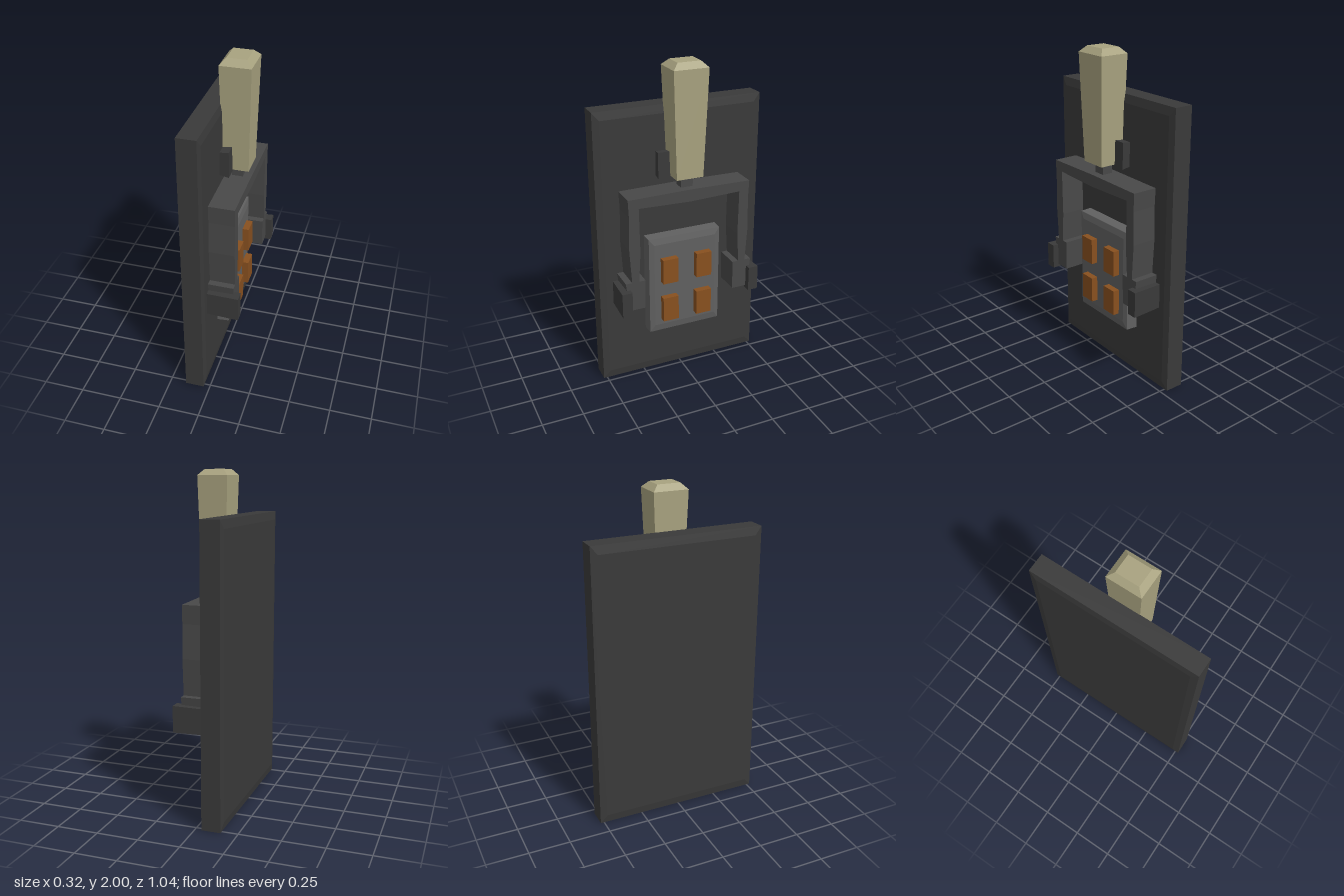
import * as THREE from 'three';

const material = (color) => new THREE.MeshStandardMaterial({ color, flatShading: true });

// Rectangular loft. Each section is [h, u0, u1, v0, v1].
// Along y: h = y, u = x, v = z. Along x: h = x, u = z, v = y.
function loft(sections, axis) {
  const rings = sections.map(([h, u0, u1, v0, v1]) =>
    [[u0, v1], [u1, v1], [u1, v0], [u0, v0]].map(([u, v]) => (axis === 'y' ? [u, h, v] : [h, v, u])));
  const pos = [];
  const quad = (a, b, c, d) => pos.push(...a, ...b, ...c, ...a, ...c, ...d);
  for (let i = 0; i < rings.length - 1; i++) {
    for (let k = 0; k < 4; k++) {
      const n = (k + 1) % 4;
      quad(rings[i][k], rings[i][n], rings[i + 1][n], rings[i + 1][k]);
    }
  }
  quad(...rings[0].slice().reverse());
  quad(...rings[rings.length - 1]);
  const g = new THREE.BufferGeometry();
  g.setAttribute('position', new THREE.Float32BufferAttribute(pos, 3));
  g.computeVertexNormals();
  return g;
}

export function createModel() {
  const model = new THREE.Group();
  model.name = 'knifeSwitch';
  const dark = material(0x3a3a3a);
  const iron = material(0x484848);
  const grey = material(0x606060);
  const copper = material(0x88501f);
  const cream = material(0xa8a27f);

  const add = (name, geometry, mat) => {
    const mesh = new THREE.Mesh(geometry, mat);
    mesh.name = name;
    model.add(mesh);
    return mesh;
  };

  // Back plate with very shallow edge bevels
  add('backPlate', loft([
    [-0.16, -0.48, 0.48, 0.05, 1.69],
    [-0.152, -0.522, 0.522, 0, 1.74],
    [-0.038, -0.522, 0.522, 0, 1.74],
    [-0.03, -0.48, 0.48, 0.05, 1.69],
  ], 'x'), dark);

  // Tapered handle with a chamfered top, and its neck
  add('handle', loft([
    [1.33, -0.03, 0.12, -0.083, 0.083],
    [1.965, -0.045, 0.135, -0.106, 0.106],
    [2.0, -0.012, 0.102, -0.07, 0.07],
  ], 'y'), cream);
  add('handleNeck', loft([
    [1.24, 0.01, 0.075, -0.037, 0.037],
    [1.34, 0.01, 0.075, -0.037, 0.037],
  ], 'y'), iron);

  // U-shaped lever frame, outlined on one half and mirrored
  const half = [
    [0.385, 1.26], [0.38, 1.15], [0.385, 0.95], [0.372, 0.735], [0.412, 0.735], [0.39, 0.55],
    [0.292, 0.55], [0.288, 0.735], [0.328, 0.735], [0.316, 0.92], [0.32, 1.2],
  ];
  const outline = [...half, [0, 1.19], ...half.map(([z, y]) => [-z, y]).reverse(), [0, 1.265]];
  const frame = new THREE.ExtrudeGeometry(
    new THREE.Shape(outline.map(([z, y]) => new THREE.Vector2(z, y))),
    { depth: 0.158, bevelEnabled: false });
  frame.rotateY(Math.PI / 2).translate(-0.035, 0, 0);
  add('leverFrame', frame, iron);

  // Contact block
  add('contactBlock', loft([
    [-0.035, -0.235, 0.235, 0.312, 0.952],
    [0.042, -0.232, 0.232, 0.315, 0.95],
    [0.05, -0.2, 0.2, 0.36, 0.91],
  ], 'x'), grey);

  for (const s of [1, -1]) {
    const span = (a, b) => (s > 0 ? [a, b] : [-b, -a]);
    const side = s > 0 ? 'left' : 'right';

    // Copper contacts
    for (const y of [0.48, 0.74]) {
      const contact = add(side + 'Contact', new THREE.BoxGeometry(0.055, 0.16, 0.1), copper);
      contact.position.set(0.0625, y, s * 0.11);
    }

    // Pivot brackets outside the frame feet
    add(side + 'PivotBracket', loft([
      [-0.035, ...span(0.38, 0.44), 0.535, 0.685],
      [0.16, ...span(0.385, 0.448), 0.533, 0.69],
    ], 'x'), dark);

    // Prongs of the clip that holds the handle
    add(side + 'HandleClip', loft([
      [-0.035, ...span(0.075, 0.152), 1.325, 1.47],
      [0.025, ...span(0.075, 0.158), 1.318, 1.478],
    ], 'x'), dark);
  }
  return model;
}
